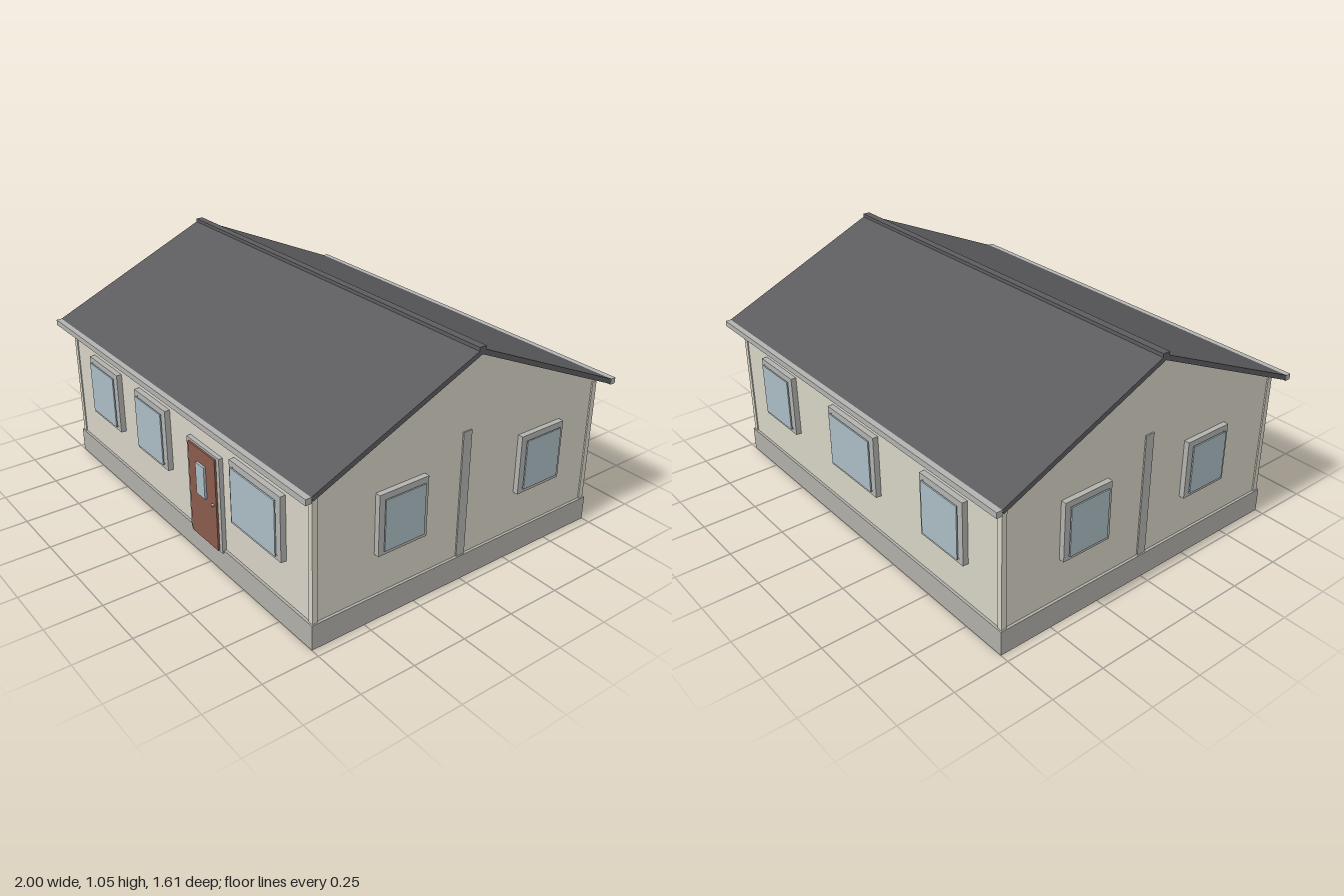
import * as THREE from 'three';

const mat = (color) => new THREE.MeshStandardMaterial({ color, flatShading: true });

export function createModel() {
  const house = new THREE.Group();
  house.name = 'house';
  const wallMat = mat(0xd6d2c4), baseMat = mat(0xb0aea8), roofMat = mat(0x5c5c5f);
  const trimMat = mat(0xb2b2b0), glassMat = mat(0xabbcc4), doorMat = mat(0x8a5a4c);

  // Box given by its limits on each axis
  function box(parent, name, material, [x0, x1], [y0, y1], [z0, z1]) {
    const mesh = new THREE.Mesh(new THREE.BoxGeometry(x1 - x0, y1 - y0, z1 - z0), material);
    mesh.position.set((x0 + x1) / 2, (y0 + y1) / 2, (z0 + z1) / 2);
    mesh.name = name;
    parent.add(mesh);
    return mesh;
  }

  // Cross-section of [z, y] points swept along x, centred on x = 0
  function sweep(name, material, points, length) {
    const shape = new THREE.Shape(points.map(([z, y]) => new THREE.Vector2(-z, y)));
    const geo = new THREE.ExtrudeGeometry(shape, { depth: length, bevelEnabled: false });
    geo.translate(0, 0, -length / 2).rotateY(Math.PI / 2);
    const mesh = new THREE.Mesh(geo, material);
    mesh.name = name;
    house.add(mesh);
  }

  // Foundation and gabled walls
  box(house, 'foundation', baseMat, [-0.96, 0.96], [0, 0.112], [-0.75, 0.75]);
  sweep('walls', wallMat,
    [[-0.738, 0.11], [0.738, 0.11], [0.738, 0.685], [0, 1.015], [-0.738, 0.685]], 1.896);

  // Corner boards and the batten in the middle of each gable
  for (const sx of [-1, 1]) {
    for (const sz of [-1, 1]) {
      const board = box(house, 'cornerBoard', wallMat, [-0.012, 0.012], [0.112, 0.68], [-0.012, 0.012]);
      board.position.x = sx * 0.942;
      board.position.z = sz * 0.731;
    }
    const batten = box(house, 'gableBatten', trimMat, [-0.006, 0.006], [0.112, 0.68], [-0.022, 0.022]);
    batten.position.x = sx * 0.948;
  }

  // Roof slabs, ridge cap and gutters
  sweep('roof', roofMat,
    [[-0.782, 0.695], [-0.772, 0.676], [0, 1.018], [0.772, 0.676], [0.782, 0.695], [0, 1.041]], 2);
  box(house, 'ridgeCap', roofMat, [-1, 1], [1.018, 1.049], [-0.017, 0.017]);
  for (const s of [-1, 1]) {
    const gutter = box(house, 'gutter', trimMat, [-1, 1], [0.67, 0.696], [-0.0135, 0.0135]);
    gutter.position.z = s * 0.7915;
  }

  // Window facing +z: a four-piece frame with a pane standing just proud of it
  function makeWindow(width, y0, y1) {
    const g = new THREE.Group();
    g.name = 'window';
    const w = width / 2, t = 0.022;
    for (const [a, b] of [[-w, -w + t], [w - t, w]]) box(g, 'frameSide', trimMat, [a, b], [y0, y1], [-0.01, 0.02]);
    for (const [a, b] of [[y0, y0 + t], [y1 - t, y1]]) box(g, 'frameRail', trimMat, [-w + t, w - t], [a, b], [-0.01, 0.02]);
    box(g, 'pane', glassMat, [-w + t, w - t], [y0 + t, y1 - t], [0.026, 0.032]);
    box(g, 'frameBack', trimMat, [-w + t, w - t], [y0 + t, y1 - t], [-0.01, 0.018]);
    return g;
  }

  // Front and back windows: [x, width, side]
  for (const [x, width, side] of [
    [-0.62, 0.267, 1], [-0.187, 0.267, 1], [0.615, 0.342, 1],
    [0.618, 0.267, -1], [0.004, 0.342, -1], [-0.618, 0.267, -1],
  ]) {
    const win = makeWindow(width, 0.298, 0.584);
    win.position.set(x, 0, side * 0.743);
    if (side < 0) win.rotation.y = Math.PI;
    house.add(win);
  }

  // Gable windows: [z, side]
  for (const [z, side] of [[0.33, 1], [-0.412, 1], [0.335, -1], [-0.335, -1]]) {
    const win = makeWindow(0.24, 0.298, 0.566);
    win.position.set(side * 0.952, 0, z);
    win.rotation.y = side * Math.PI / 2;
    house.add(win);
  }

  // Front door with frame, light and knob
  const door = new THREE.Group();
  door.name = 'frontDoor';
  box(door, 'doorFrame', trimMat, [0.112, 0.358], [0.1, 0.541], [0.73, 0.757]);
  box(door, 'doorLeaf', doorMat, [0.134, 0.337], [0.105, 0.53], [0.74, 0.765]);
  box(door, 'doorLight', glassMat, [0.203, 0.267], [0.32, 0.466], [0.76, 0.775]);
  const knob = new THREE.Mesh(new THREE.SphereGeometry(0.007, 10, 8), trimMat);
  knob.position.set(0.315, 0.315, 0.768);
  knob.name = 'doorKnob';
  door.add(knob);
  house.add(door);

  return house;
}
